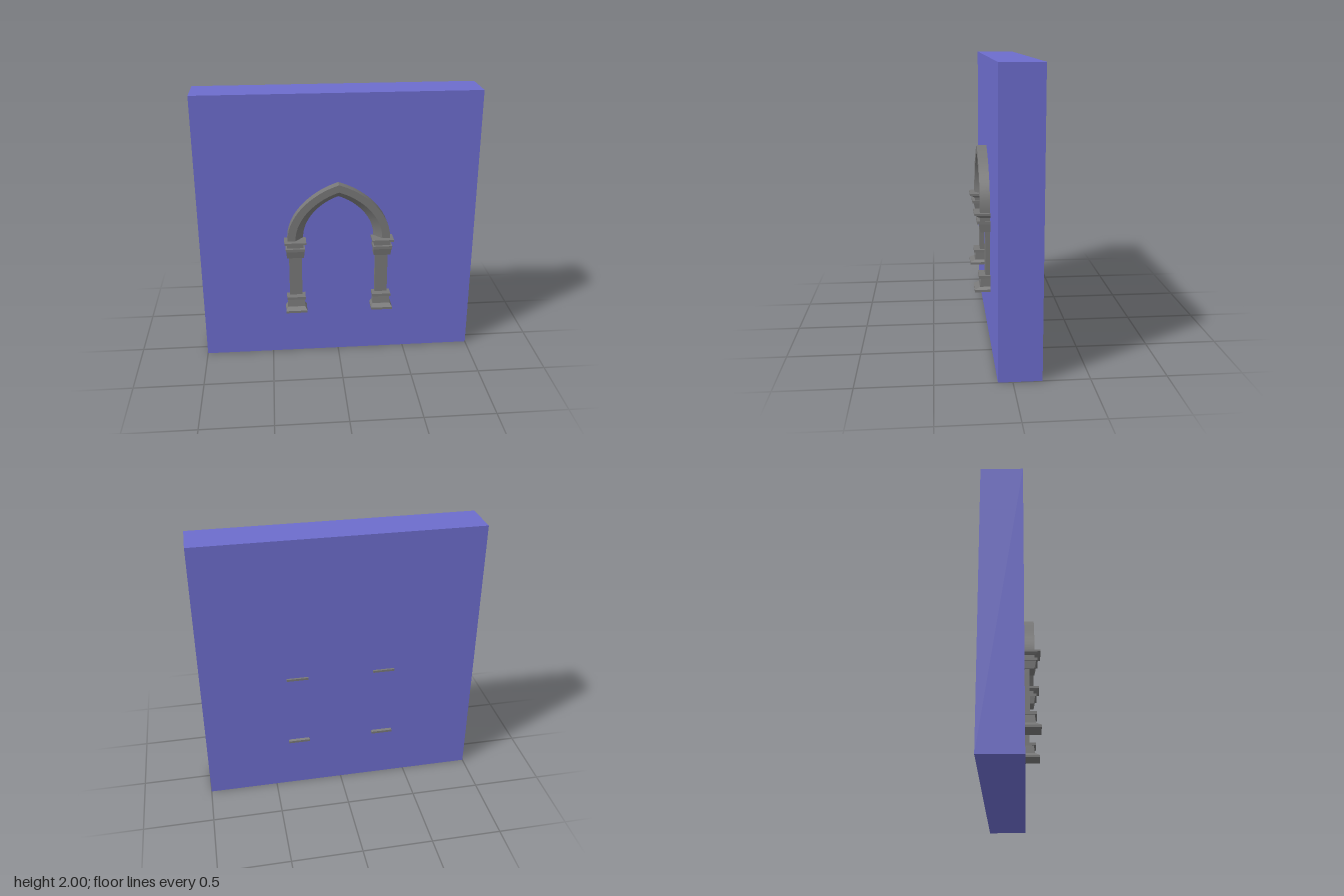
import * as THREE from 'three';

const wallBlue = new THREE.MeshStandardMaterial({ color: 0x6c6ccc });
wallBlue.name = 'wallBlue';
const stoneGrey = new THREE.MeshStandardMaterial({ color: 0x777777 });
stoneGrey.name = 'stoneGrey';

const SPRING = 0.95; // height where the arch meets the pillars
const APEX = 1.365;

// Rectangular tapering block: [half width, half depth] at bottom and top
function frustum(name, y0, y1, [x0, z0], [x1, z1]) {
  const box = new THREE.BoxGeometry(2, 1, 2);
  const p = box.attributes.position;
  for (let i = 0; i < p.count; i++) {
    const top = p.getY(i) > 0;
    p.setXYZ(i, p.getX(i) * (top ? x1 : x0), top ? y1 : y0, p.getZ(i) * (top ? z1 : z0));
  }
  box.computeVertexNormals();
  const mesh = new THREE.Mesh(box, stoneGrey);
  mesh.name = name;
  return mesh;
}

// Pillar passing through the wall, moulded at base and capital
function pillar(name, x) {
  const g = new THREE.Group();
  g.name = name;
  const parts = [
    ['basePlinth', 0.385, 0.402, [0.078, 0.205], [0.078, 0.205]],
    ['baseSlope', 0.402, 0.42, [0.078, 0.205], [0.064, 0.17]],
    ['baseBlock', 0.42, 0.48, [0.064, 0.168], [0.061, 0.16]],
    ['baseCollar', 0.48, 0.50, [0.068, 0.175], [0.068, 0.175]],
    ['shaft', 0.50, 0.815, [0.046, 0.129], [0.046, 0.129]],
    ['capitalBlock', 0.815, 0.872, [0.061, 0.163], [0.066, 0.174]],
    ['capitalRing', 0.872, 0.893, [0.069, 0.185], [0.069, 0.185]],
    ['capitalNeck', 0.893, 0.917, [0.06, 0.164], [0.06, 0.164]],
    ['capitalFlare', 0.917, 0.935, [0.062, 0.166], [0.074, 0.198]],
    ['capitalSlab', 0.935, SPRING, [0.078, 0.205], [0.078, 0.205]],
  ];
  for (const part of parts) g.add(frustum(...part));
  g.position.x = x;
  return g;
}

// One smooth face of a half arch, swept between two corners of the section
function archStrip(a, b, side) {
  const curve = new THREE.CubicBezierCurve(
    new THREE.Vector2(0.37, 0), new THREE.Vector2(0.37, 0.2),
    new THREE.Vector2(0.18, 0.36), new THREE.Vector2(0, APEX - SPRING));
  const n = 20, pos = [], index = [];
  for (let i = 0; i <= n; i++) {
    const q = curve.getPoint(i / n);
    for (const [sx, sy, z] of [a, b]) pos.push(side * q.x * sx, SPRING + q.y * sy, z);
    if (i === n) break;
    const k = 2 * i;
    if (side > 0) index.push(k, k + 2, k + 1, k + 1, k + 2, k + 3);
    else index.push(k, k + 1, k + 2, k + 1, k + 3, k + 2);
  }
  const geo = new THREE.BufferGeometry();
  geo.setAttribute('position', new THREE.Float32BufferAttribute(pos, 3));
  geo.setIndex(index);
  geo.computeVertexNormals();
  return geo;
}

// Pointed arch with a bevelled inner edge
function pointedArch() {
  const g = new THREE.Group();
  g.name = 'pointedArch';
  // Section corners: [x scale, y scale, z] relative to the outer curve
  const section = [
    [1, 1, -0.165], [1, 1, 0.165],
    [0.845, 0.87, 0.165], [0.69, 0.747, 0.1],
    [0.69, 0.747, -0.1], [0.845, 0.87, -0.165],
  ];
  for (const side of [1, -1]) {
    const half = new THREE.Group();
    half.name = side > 0 ? 'leftArchHalf' : 'rightArchHalf';
    section.forEach((a, i) => {
      const b = section[(i + 1) % section.length];
      const mesh = new THREE.Mesh(archStrip(a, b, side), stoneGrey);
      mesh.name = 'archFace';
      half.add(mesh);
    });
    g.add(half);
  }
  return g;
}

export function createModel() {
  const model = new THREE.Group();
  model.name = 'wallWithArch';

  // Solid wall slab
  const wall = new THREE.Mesh(new THREE.BoxGeometry(2, 2, 0.285), wallBlue);
  wall.name = 'wall';
  wall.position.set(0, 1, -0.0475);
  model.add(wall);

  model.add(pillar('leftPillar', 0.315), pillar('rightPillar', -0.315), pointedArch());
  return model;
}
